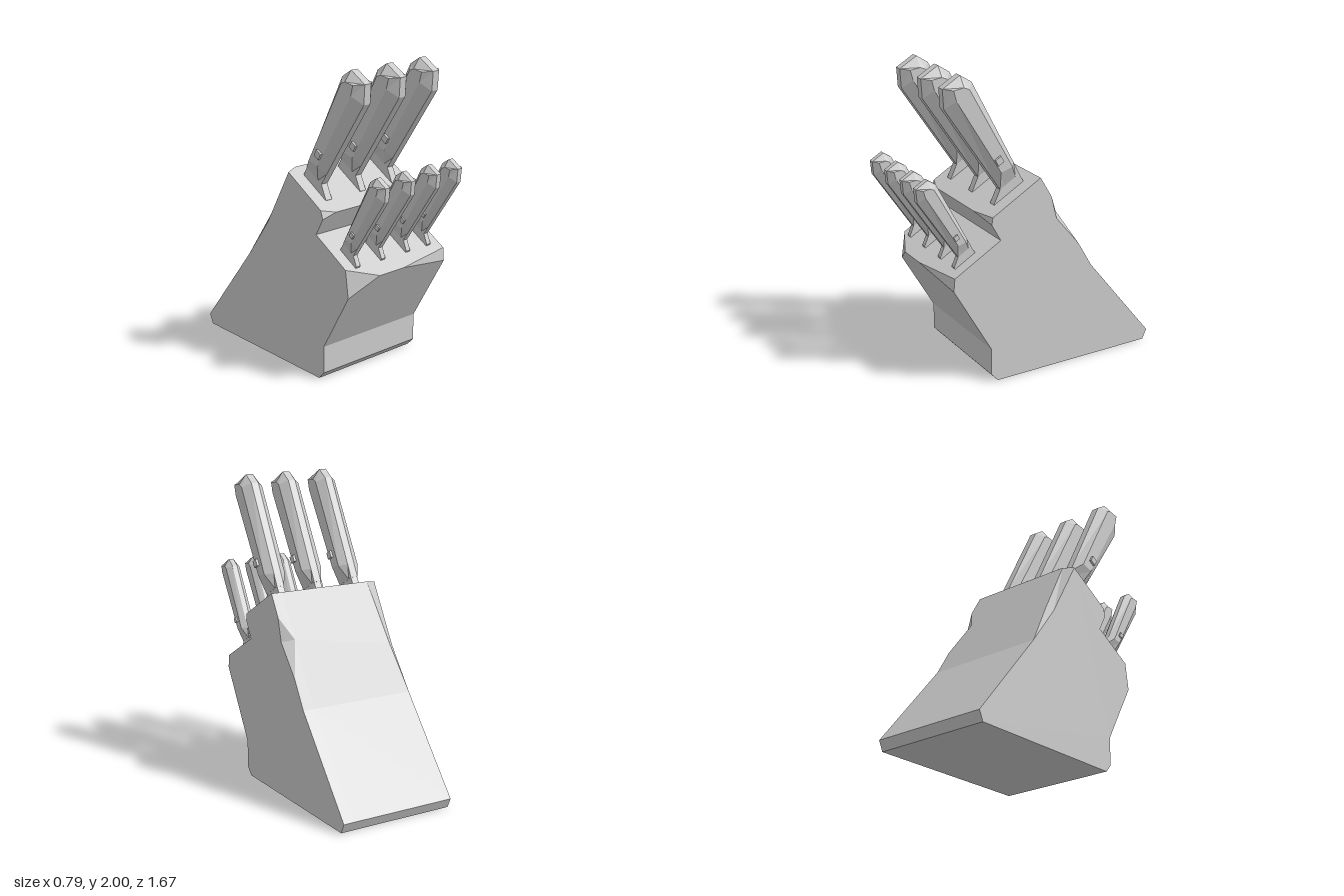
import * as THREE from 'three';

const material = new THREE.MeshStandardMaterial({ color: 0xcccccc, flatShading: true });

function addMesh(parent, geometry, name) {
  const mesh = new THREE.Mesh(geometry, material);
  mesh.name = name;
  parent.add(mesh);
  return mesh;
}

// Skin equal-length rings of Vector3; capFaces are index triangles closing both ends
function loft(rings, capFaces) {
  const out = [];
  const tri = (a, b, c) => {
    const area = b.clone().sub(a).cross(c.clone().sub(a)).length();
    if (area > 1e-7) out.push(...a.toArray(), ...b.toArray(), ...c.toArray());
  };
  for (let s = 0; s < rings.length - 1; s++) {
    const p = rings[s], q = rings[s + 1];
    for (let i = 0; i < p.length; i++) {
      const j = (i + 1) % p.length;
      tri(p[i], q[i], p[j]);
      tri(p[j], q[i], q[j]);
    }
  }
  const last = rings[rings.length - 1];
  for (const [a, b, c] of capFaces(rings[0])) tri(rings[0][a], rings[0][b], rings[0][c]);
  for (const [a, b, c] of capFaces(last)) tri(last[a], last[c], last[b]);
  const geometry = new THREE.BufferGeometry();
  geometry.setAttribute('position', new THREE.Float32BufferAttribute(out, 3));
  geometry.computeVertexNormals();
  return geometry;
}

// Stepped, leaning block: one side profile [z, y], with chipped corners at both ends
function blockGeometry() {
  const half = 0.395;
  const apexL = [-0.2, 0.935], apexR = [-0.14, 1.037];
  const profile = [
    [-0.81, 0], [0.33, 0], [0.375, 0.05], [0.375, 0.23],
    [0.67, 0.745], [0.67, 0.745],               // front lip
    [0.305, 0.955],
    [0.385, 1.1], [0.385, 1.1],                 // upper step lip
    [0.02, 1.31],
    apexR, apexR, apexR,                        // back slope
    [-0.37, 0.645], [-0.84, 0.065],
  ];
  const ring = (xs, changes) => profile.map((p, i) => {
    const [z, y] = changes[i] || p;
    return new THREE.Vector3(Array.isArray(xs) ? xs[i] : xs, y, z);
  });
  const rightEnd = ring(-half, {
    4: [0.6, 0.622], 5: [0.575, 0.8], 7: [0.367, 1.067], 8: [0.35, 1.12],
    9: [0.045, 1.296], 10: [-0.17, 0.915], 11: [-0.17, 0.915], 12: [-0.17, 0.915],
  });
  const rightInner = ring(
    [-0.2, -0.2, -0.2, -0.2, -0.2, -0.2, -0.2, -0.3, -0.3, -0.32, -0.355, -0.355, -0.355, -half, -half],
    { 10: apexL, 11: apexL, 12: apexL });
  const leftInner = ring(
    [0, 0, 0, 0, 0, 0, 0, 0.2, 0.2, 0.32, 0.32, 0.32, 0.32, 0.32, 0.32], {});
  const leftEnd = ring(half, {
    4: [0.635, 0.685], 5: [0.627, 0.77], 7: [0.367, 1.067], 8: [0.36, 1.114],
    10: [-0.06, 1.174], 11: [-0.1, 1.02], 12: [-0.27, 0.815],
  });
  const caps = (r) => THREE.ShapeUtils.triangulateShape(
    r.map((v) => new THREE.Vector2(v.z, v.y)), []);
  return loft([rightEnd, rightInner, leftInner, leftEnd], caps);
}

// Eight-sided grip; each ring lists [y, z] of back, side back, side front and front corners
function gripGeometry() {
  const e = 0.025;
  const ring = (w, back, sideBack, sideFront, front) => [
    [w, sideBack], [w, sideFront], [e, front], [-e, front],
    [-w, sideFront], [-w, sideBack], [-e, back], [e, back],
  ].map(([x, [y, z]]) => new THREE.Vector3(x, y, z));
  const rings = [
    ring(0.025, [0, -0.088], [0, -0.055], [0, 0.035], [0, 0.071]),
    ring(0.075, [0.09, -0.092], [0.1, -0.055], [0.12, 0.025], [0.09, 0.077]),
    ring(0.075, [0.705, -0.116], [0.7, -0.065], [0.69, 0.04], [0.675, 0.116]),
    ring(0.075, [0.785, -0.075], [0.73, -0.042], [0.757, 0.022], [0.785, 0.061]),
  ];
  const caps = () => [[0, 1, 2], [0, 2, 7], [2, 3, 6], [2, 6, 7], [3, 4, 5], [3, 5, 6]];
  return loft(rings, caps);
}

// Flat blade heel between grip and block, flaring towards the front
function heelGeometry() {
  const shape = new THREE.Shape([
    [-0.086, -0.09], [-0.086, 0.02], [0.069, 0.02], [0.069, 0], [0.155, -0.06], [0.155, -0.09],
  ].map(([z, y]) => new THREE.Vector2(-z, y)));
  const geometry = new THREE.ExtrudeGeometry(shape, { depth: 0.048, bevelEnabled: false });
  return geometry.translate(0, 0, -0.024).rotateY(Math.PI / 2);
}

export function createModel() {
  const model = new THREE.Group();
  model.name = 'knifeBlock';
  addMesh(model, blockGeometry(), 'block');

  // All knives share the block's lean
  const knives = new THREE.Group();
  knives.name = 'knives';
  knives.rotation.x = Math.PI / 6;
  model.add(knives);

  const grip = gripGeometry();
  const heel = heelGeometry();
  const rivet = new THREE.BoxGeometry(0.18, 0.045, 0.045);
  const addKnife = (name, x, y, z, scale) => {
    const knife = new THREE.Group();
    knife.name = name;
    knife.position.set(x, y, z);
    knife.scale.set(...scale);
    addMesh(knife, grip, 'grip');
    addMesh(knife, heel, 'bladeHeel');
    addMesh(knife, rivet, 'rivet').position.set(0, 0.198, 0);
    knives.add(knife);
  };
  for (const x of [-0.283, 0, 0.275]) addKnife('largeKnife', x, 1.207, -0.475, [1, 1, 1]);
  for (const x of [-0.303, -0.095, 0.118, 0.3]) addKnife('smallKnife', x, 1.035, 0.003, [0.68, 0.71, 0.67]);
  return model;
}
